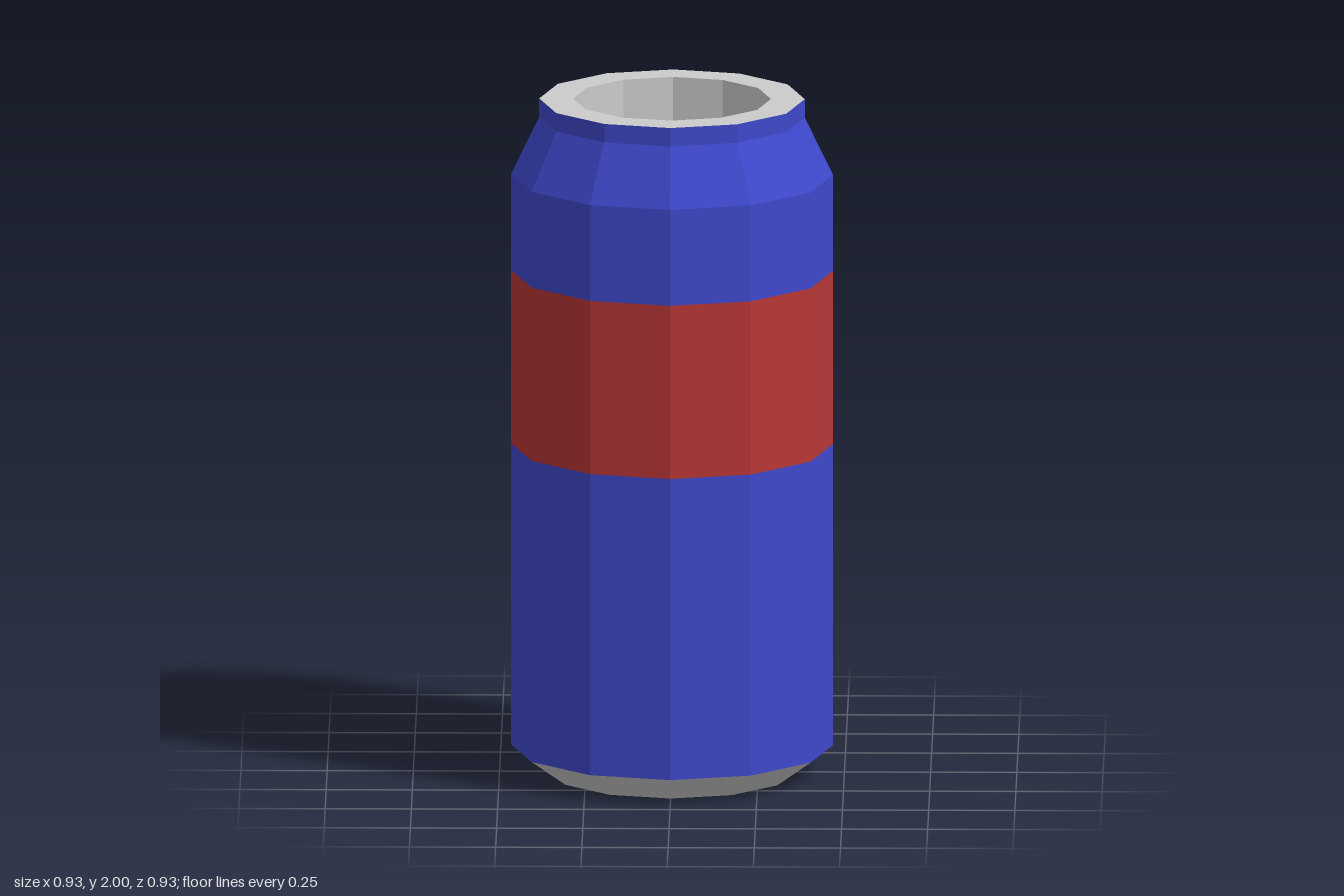
import * as THREE from 'three';

const SIDES = 12;
const R = 0.467;      // body radius
const RIM = 0.385;    // neck and rim radius
const HOLE = 0.287;   // lid recess radius
const FOOT = 0.355;   // base radius

const blue = new THREE.MeshStandardMaterial({ color: 0x3f48cc, flatShading: true });
const red = new THREE.MeshStandardMaterial({ color: 0xb83636, flatShading: true });
const grey = new THREE.MeshStandardMaterial({ color: 0xcccccc, flatShading: true });

// Twelve-sided turned part from [radius, height] pairs
function turned(name, profile, material) {
  const points = profile.map(([r, y]) => new THREE.Vector2(r, y));
  const mesh = new THREE.Mesh(new THREE.LatheGeometry(points, SIDES), material);
  mesh.name = name;
  return mesh;
}

export function createModel() {
  const can = new THREE.Group();
  can.name = 'can';
  can.add(
    // flat bottom with a chamfer out to the body
    turned('base', [[0, 0], [FOOT, 0], [R, 0.08]], grey),
    turned('lowerBody', [[R, 0.08], [R, 0.975]], blue),
    turned('band', [[R, 0.975], [R, 1.49]], red),
    // upper wall, sloping shoulder and short neck
    turned('upperBody', [[R, 1.49], [R, 1.775], [RIM, 1.945], [RIM, 2]], blue),
    // flat rim around a recessed lid
    turned('lid', [[RIM, 2], [HOLE, 2], [HOLE, 1.86], [0, 1.86]], grey),
  );
  return can;
}
